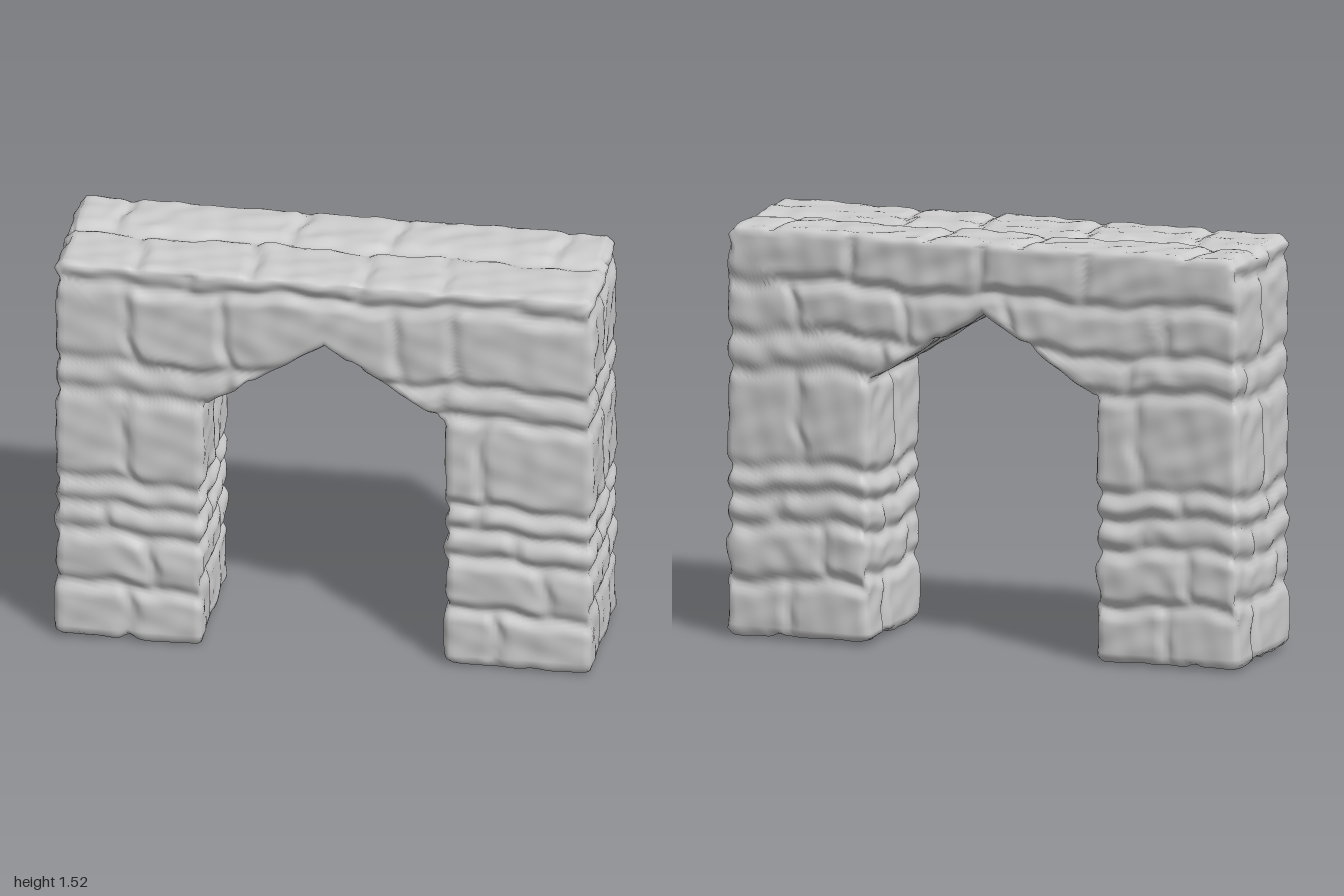
import * as THREE from 'three';

const stoneGrey = new THREE.MeshStandardMaterial({ color: 0xcccccc });
stoneGrey.name = 'stone grey';

// Each course: [upper limit, ...vertical joints]
const FRONT = [[0.22, -0.72, 0.62], [0.43, -0.62, 0.82], [0.54, -0.8, 0.7], [0.64, 0.55], [1.0, -0.72, 0.58],
  [1.12, -0.36, 0.42], [1.44, -0.71, -0.36, 0.27, 0.48], [9, -0.5, 0.12, 0.7]];
const BACK = [[0.22, -0.7, 0.75], [0.43, 0.6, -0.8], [0.54, -0.62, 0.78], [0.64, -0.75], [1.0, 0.7, -0.6],
  [1.13, 0.4, -0.55], [1.32, 0.72, 0.3, -0.1, -0.7], [9, 0.5, 0, -0.4]];
const SIDE = [[0.25, 0.08], [0.4, -0.17], [0.52, 0.05], [0.62, -0.1], [0.99, -0.02], [1.12, 0.13], [1.44, 0], [9, -0.1]];
const TOP = [[-0.02, -0.8, -0.16, 0.2, 0.8], [9, -0.7, -0.28, 0.13, 0.42]];

const hash = (a, b) => { const v = Math.sin(a * 127.1 + b * 311.7) * 43758.5453; return v - Math.floor(v); };
const grain = (u, v, s) => Math.sin(u * 17 + 3 * Math.sin(v * 9 + s)) * Math.sin(v * 19 + 2 * Math.sin(u * 13 + s))
  + 0.5 * Math.sin(u * 41 + v * 23 + s) * Math.sin(v * 37 - u * 19);

// Height of the masonry: rounded stones with sunken joints
function masonry(u0, v0, courses, seed) {
  const u = u0 + 0.014 * Math.sin(v0 * 13 + seed) + 0.006 * Math.sin(v0 * 37);
  const v = v0 + 0.014 * Math.sin(u0 * 9 + seed * 2) + 0.006 * Math.sin(u0 * 31 + seed);
  const row = courses.findIndex(c => v < c[0]);
  const [limit, ...joints] = courses[row];
  const dv = Math.min(limit - v, row ? v - courses[row - 1][0] : 9);
  const du = Math.min(...joints.map(j => Math.abs(u - j)));
  const column = joints.filter(j => j < u).length;
  const bed = THREE.MathUtils.smoothstep(dv, -0.012, 0.05);
  const head = THREE.MathUtils.smoothstep(du, -0.01, 0.04);
  const face = 0.006 + 0.009 * (hash(row + seed, column) - 0.5) + 0.0045 * grain(u0, v0, seed);
  return -0.017 + bed * (0.006 + head * (0.011 + face));
}

// Inner and outer edge of the arch, from the foot to the middle
const HALF = [
  { inner: [-0.445, 0.035], outer: [-0.977, 0.035], steps: 84 },
  { inner: [-0.445, 0.965], outer: [-0.977, 1.485], steps: 4 },
  { inner: [-0.43, 0.987], outer: [-0.95, 1.512], steps: 56 },
  { inner: [0, 1.262], outer: [0, 1.512] },
];

function stations() {
  const list = [];
  // Underside of the foot, growing outward from its middle
  for (let k = 0; k <= 15; k++) {
    list.push({ inner: [-0.445, 0.02], outer: [-0.977, 0.02], scale: k / 15 * 0.96 });
  }
  const mix = (a, b, t) => a.map((v, i) => v + (b[i] - v) * t);
  for (let i = 0; i < HALF.length - 1; i++) {
    const a = HALF[i], b = HALF[i + 1];
    for (let k = 0; k < a.steps; k++) {
      const t = k / a.steps;
      list.push({ inner: mix(a.inner, b.inner, t), outer: mix(a.outer, b.outer, t), scale: 1 });
    }
  }
  const mirrored = list.map(s => ({ inner: [-s.inner[0], s.inner[1]], outer: [-s.outer[0], s.outer[1]], scale: s.scale }));
  return [...list, { ...HALF[3], scale: 1 }, ...mirrored.reverse()];
}

function archGeometry() {
  const N = 32, LOOP = N * 4, DEPTH = 0.272, ROUND = 0.022;
  const corners = [[1, -1], [1, 1], [-1, 1], [-1, -1]];
  const rings = stations(), points = [], index = [];

  // Rounded rectangular cross-section at every station
  rings.forEach(({ inner, outer, scale }) => {
    const hx = (outer[0] - inner[0]) / 2, hy = (outer[1] - inner[1]) / 2;
    const half = Math.hypot(hx, hy);
    for (let j = 0; j < LOOP; j++) {
      const side = Math.floor(j / N), t = (j % N) / N;
      const a = corners[side], b = corners[(side + 1) % 4];
      let s = (a[0] + (b[0] - a[0]) * t) * half, z = (a[1] + (b[1] - a[1]) * t) * DEPTH;
      const cs = THREE.MathUtils.clamp(s, ROUND - half, half - ROUND);
      const cz = THREE.MathUtils.clamp(z, ROUND - DEPTH, DEPTH - ROUND);
      const d = Math.hypot(s - cs, z - cz);
      s = (cs + (s - cs) / d * ROUND) / half * scale;
      z = (cz + (z - cz) / d * ROUND) * scale;
      points.push((inner[0] + outer[0]) / 2 + hx * s, (inner[1] + outer[1]) / 2 + hy * s, z);
    }
  });
  for (let i = 0; i < rings.length - 1; i++) {
    for (let j = 0; j < LOOP; j++) {
      const a = i * LOOP + j, b = i * LOOP + (j + 1) % LOOP;
      index.push(a, b, a + LOOP, b, b + LOOP, a + LOOP);
    }
  }
  const geometry = new THREE.BufferGeometry();
  geometry.setAttribute('position', new THREE.Float32BufferAttribute(points, 3));
  geometry.setIndex(index);
  geometry.computeVertexNormals();

  // Push the surface in and out, blending the wall patterns by direction
  const pos = geometry.attributes.position, nor = geometry.attributes.normal;
  const p = new THREE.Vector3(), n = new THREE.Vector3();
  for (let i = 0; i < pos.count; i++) {
    p.fromBufferAttribute(pos, i);
    n.fromBufferAttribute(nor, i);
    const wx = n.x ** 4, wy = n.y ** 4, wz = n.z ** 4, sum = wx + wy + wz || 1;
    const hx = masonry(n.x > 0 ? p.z : -p.z, p.y, SIDE, n.x > 0 ? 1 : 4);
    const hy = masonry(p.x, p.z, TOP, n.y > 0 ? 2 : 5);
    const hz = masonry(p.x, p.y, n.z > 0 ? FRONT : BACK, n.z > 0 ? 3 : 6);
    p.addScaledVector(n, (wx * hx + wy * hy + wz * hz) / sum);
    pos.setXYZ(i, p.x, p.y, p.z);
  }
  geometry.computeVertexNormals();
  return geometry;
}

export function createModel() {
  const model = new THREE.Group();
  model.name = 'stoneArchway';
  const arch = new THREE.Mesh(archGeometry(), stoneGrey);
  arch.name = 'archMasonry';
  model.add(arch);
  return model;
}
